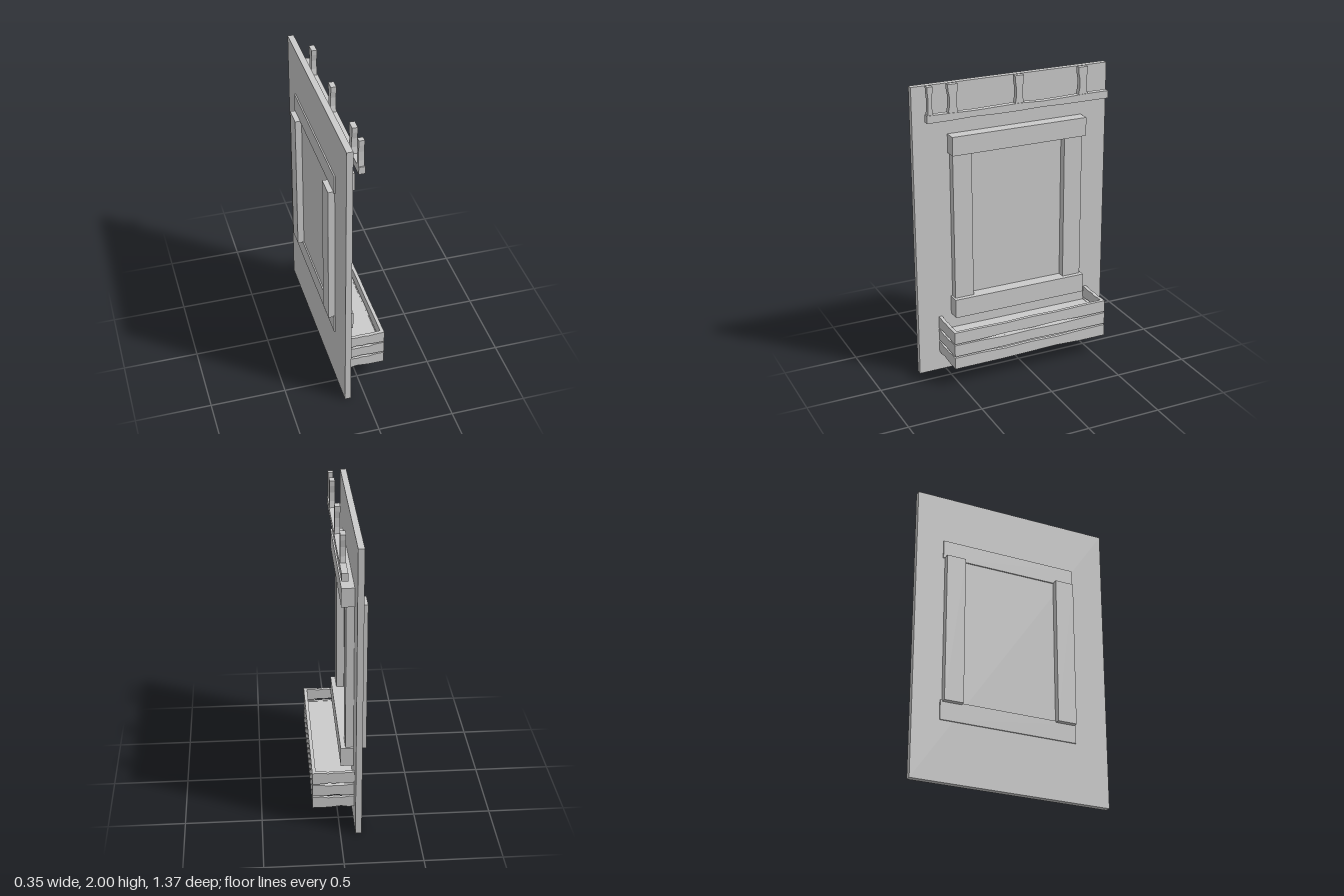
import * as THREE from 'three';

const grey = new THREE.MeshStandardMaterial({ color: 0xcccccc, flatShading: true });

function add(group, name, geometry) {
  const mesh = new THREE.Mesh(geometry, grey);
  mesh.name = name;
  group.add(mesh);
  return mesh;
}

// Box given by its limits on each axis
function block(group, name, [x0, x1], [y0, y1], [z0, z1]) {
  const mesh = add(group, name, new THREE.BoxGeometry(x1 - x0, y1 - y0, z1 - z0));
  mesh.position.set((x0 + x1) / 2, (y0 + y1) / 2, (z0 + z1) / 2);
  return mesh;
}

// Slab cut from an outline of [z, y] points, spanning x0..x1
function slabX(group, name, points, x0, x1) {
  const shape = new THREE.Shape(points.map(([z, y]) => new THREE.Vector2(-z, y)));
  const geo = new THREE.ExtrudeGeometry(shape, { depth: x1 - x0, bevelEnabled: false });
  geo.rotateY(Math.PI / 2);
  geo.translate(x0, 0, 0);
  return add(group, name, geo);
}

// Slab cut from an outline of [x, y] points, spanning z0..z1
function slabZ(group, name, points, z0, z1) {
  const shape = new THREE.Shape(points.map(([x, y]) => new THREE.Vector2(x, y)));
  const geo = new THREE.ExtrudeGeometry(shape, { depth: z1 - z0, bevelEnabled: false });
  geo.translate(0, 0, z0);
  return add(group, name, geo);
}

// Outline of a hand-hewn plank whose long edges dip by small amounts
function hewn(a, b, y0, y1, topDips, bottomDips) {
  const edge = (y, dips) => dips.map((d, i) => [a + (b - a) * i / (dips.length - 1), y + d]);
  return [...edge(y0, bottomDips), ...edge(y1, topDips).reverse()];
}

export function createModel() {
  const model = new THREE.Group();
  model.name = 'windowWall';

  block(model, 'wallPanel', [-0.137, -0.097], [0, 1.985], [-0.685, 0.685]);

  // Window frame
  const frame = new THREE.Group();
  frame.name = 'windowFrame';
  model.add(frame);
  block(frame, 'lintel', [-0.146, -0.015], [1.53, 1.655], [-0.5, 0.45]);
  block(frame, 'sill', [-0.146, -0.015], [0.4, 0.53], [-0.5, 0.45]);
  block(frame, 'leftPost', [-0.18, -0.046], [0.52, 1.535], [0.307, 0.438]);
  block(frame, 'rightPost', [-0.18, -0.046], [0.52, 1.535], [-0.487, -0.357]);

  // Hanging rail with waisted pegs
  const rack = new THREE.Group();
  rack.name = 'pegRack';
  model.add(rack);
  slabX(rack, 'rail', hewn(-0.65, 0.62, 1.77, 1.82,
    [0, 0, -0.005, -0.008, 0, -0.003, -0.006, -0.002, 0],
    [0, 0, 0, 0.004, 0, 0, 0.005, 0, 0]), -0.044, -0.004);
  for (const [z, w] of [[0.595, 0.018], [0.443, 0.034], [-0.012, 0.031], [-0.467, 0.034]]) {
    const side = [[1, 1.815], [0.72, 1.86], [0.7, 1.92], [0.95, 1.965], [1, 2]];
    const outline = [
      ...side.map(([s, y]) => [z - s * w, y]),
      ...side.map(([s, y]) => [z + s * w, y]).reverse(),
    ];
    slabX(rack, 'peg', outline, -0.043, -0.008);
  }

  // Planter box of three plank courses
  const planter = new THREE.Group();
  planter.name = 'planterBox';
  model.add(planter);
  const courses = [
    [0.132, 0.212, [0, -0.002, -0.008, -0.002, -0.008, 0, 0], [0, 0, 0.008, 0.004, 0, 0, 0]],
    [0.222, 0.303, [0, -0.003, -0.008, -0.004, -0.009, 0, 0], [0, 0, 0.002, 0.006, 0.001, 0, 0]],
    [0.312, 0.394, [0, 0, -0.004, 0, -0.005, -0.001, 0], [0, 0, 0.007, 0.002, 0.006, 0, 0]],
  ];
  for (const [y0, y1, top, bottom] of courses) {
    slabX(planter, 'frontPlank', hewn(-0.57, 0.54, y0, y1, top, bottom), 0.149, 0.172);
    for (const z of [-0.57, 0.517]) {
      slabZ(planter, 'endPlank', hewn(-0.097, 0.149, y0, y1, top, bottom), z, z + 0.023);
    }
  }
  block(planter, 'planterFloor', [-0.097, 0.149], [0.25, 0.295], [-0.55, 0.52]);

  return model;
}
